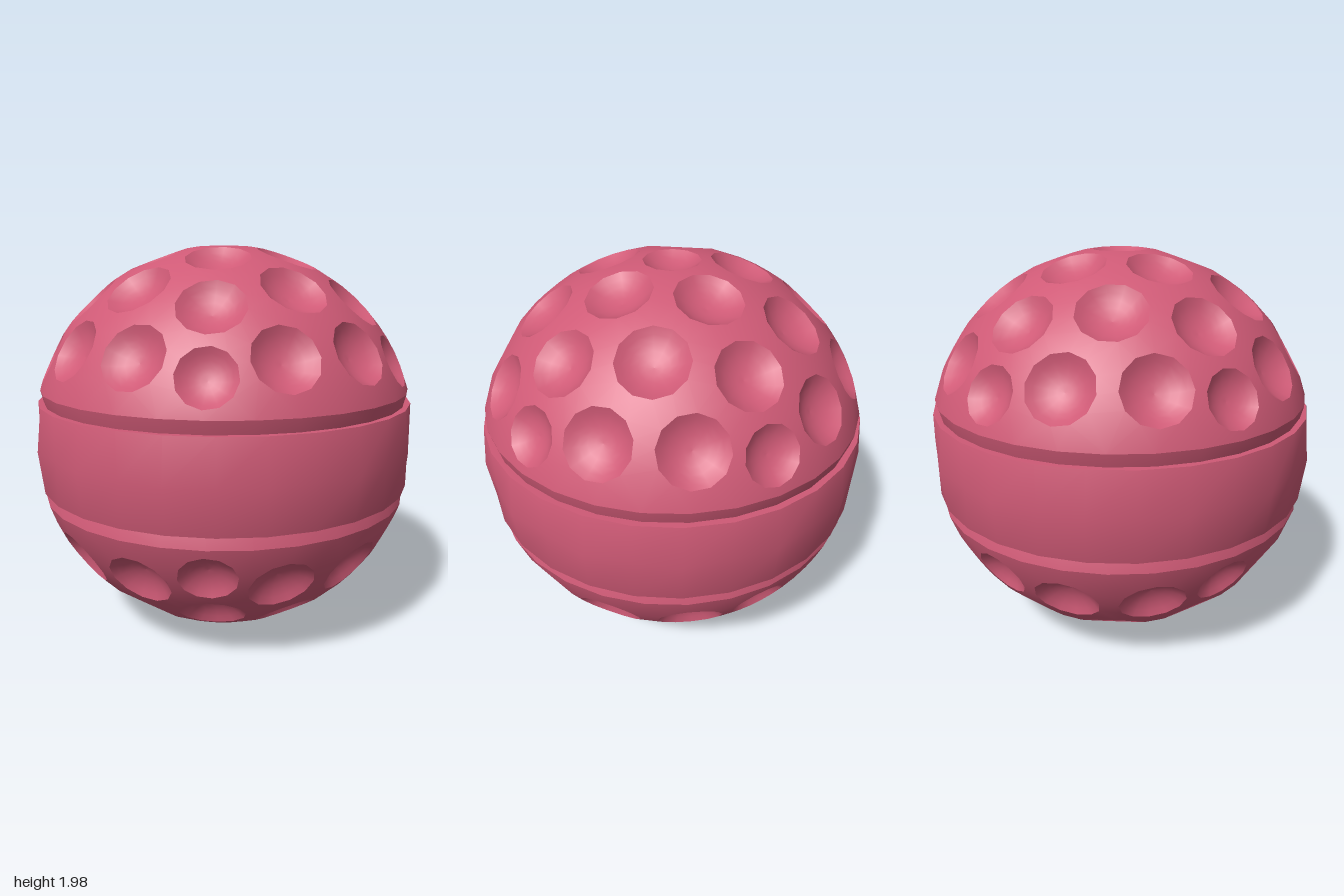
import * as THREE from 'three';
import { ConvexGeometry } from 'three/addons/geometries/ConvexGeometry.js';

const RIM_Y = 0.28;       // where the dimpled shell ends, above the centre
const BAND_Y = 0.217;     // half height of the band
const SIDES = 12;         // corners of a dimple rim
const material = new THREE.MeshStandardMaterial({ color: 0xcf5a76, roughness: 0.8 });
const skirtMaterial = material.clone();
skirtMaterial.side = THREE.DoubleSide;

function addMesh(parent, name, geometry, mat = material) {
  const mesh = new THREE.Mesh(geometry, mat);
  mesh.name = name;
  parent.add(mesh);
  return mesh;
}

// Dimple centres: five-fold rings [angle from pole, turn, radius] in degrees
function dimpleList() {
  const rings = [
    [20.1, 180, 0.16], [43.3, 180, 0.16], [63.43, 180, 0.138],
    [37.38, 0, 0.165], [59, 13.6, 0.16], [59, -13.6, 0.16],
  ];
  const list = [{ dir: new THREE.Vector3(0, 1, 0), radius: 0.138 }];
  for (const [polar, turn, radius] of rings) {
    for (let k = 0; k < 5; k++) {
      const dir = new THREE.Vector3().setFromSphericalCoords(
        1, THREE.MathUtils.degToRad(polar), THREE.MathUtils.degToRad(turn + 72 * k));
      list.push({ dir, radius });
    }
  }
  const up = new THREE.Vector3(0, 1, 0);
  for (const d of list) {
    d.height = Math.sqrt(1 - d.radius ** 2);
    d.turn = new THREE.Quaternion().setFromUnitVectors(up, d.dir);
  }
  return list;
}

// Faceted shell stretched between the dimple rims, left open at each dimple
function shellGeometry(dimples) {
  const points = [];
  const ring = (radius, y, n) => Array.from({ length: n }, (_, i) => {
    const a = (i / n) * Math.PI * 2;
    return new THREE.Vector3(Math.sin(a) * radius, y, Math.cos(a) * radius);
  });
  for (const d of dimples) {
    points.push(...ring(d.radius, d.height, SIDES).map((p) => p.applyQuaternion(d.turn)));
  }
  points.push(...ring(Math.sqrt(1 - RIM_Y ** 2), RIM_Y, 30));

  const hull = new ConvexGeometry(points).getAttribute('position');
  const positions = [], normals = [];
  for (let i = 0; i < hull.count; i += 3) {
    const tri = [0, 1, 2].map((j) => new THREE.Vector3().fromBufferAttribute(hull, i + j));
    const overDimple = dimples.some((d) => tri.every((p) => p.dot(d.dir) > d.height - 1e-4));
    const underside = tri.every((p) => p.y < RIM_Y + 1e-4);
    if (overDimple || underside) continue;
    for (const p of tri) {
      positions.push(p.x, p.y, p.z);
      p.normalize();
      normals.push(p.x, p.y, p.z);
    }
  }
  const geometry = new THREE.BufferGeometry();
  geometry.setAttribute('position', new THREE.Float32BufferAttribute(positions, 3));
  geometry.setAttribute('normal', new THREE.Float32BufferAttribute(normals, 3));
  return geometry;
}

// Shallow round bowl, profile running from rim to centre so it faces outward
function bowlGeometry(radius) {
  const depth = radius * 0.38, steps = 5, profile = [];
  const R = (radius ** 2 + depth ** 2) / (2 * depth);
  const spread = Math.asin(radius / R);
  for (let i = steps; i >= 0; i--) {
    const a = (spread * i) / steps;
    profile.push(new THREE.Vector2(R * Math.sin(a), R - depth - R * Math.cos(a)));
  }
  return new THREE.LatheGeometry(profile, SIDES);
}

function dimpledHalf(name) {
  const half = new THREE.Group();
  half.name = name;
  const dimples = dimpleList();
  addMesh(half, 'shell', shellGeometry(dimples));
  for (const d of dimples) {
    const bowl = addMesh(half, 'dimple', bowlGeometry(d.radius));
    bowl.position.copy(d.dir).multiplyScalar(d.height);
    bowl.quaternion.copy(d.turn);
  }
  // Tucked-in lower edge that runs behind the band
  const skirt = new THREE.LatheGeometry([
    new THREE.Vector2(0.92, 0.15), new THREE.Vector2(0.945, BAND_Y),
    new THREE.Vector2(0.96, RIM_Y),
  ], 30);
  addMesh(half, 'shellEdge', skirt, skirtMaterial);
  return half;
}

// Fourteen-cornered band: the corners bulge only on the middle line
function bandGeometry() {
  const geometry = new THREE.CylinderGeometry(0.975, 0.975, BAND_Y * 2, 28, 2, true);
  const pos = geometry.getAttribute('position');
  const normal = geometry.getAttribute('normal');
  const p = new THREE.Vector3();
  for (let i = 0; i < pos.count; i++) {
    p.fromBufferAttribute(pos, i);
    if (Math.abs(p.y) < 0.01 && (i % 29) % 2 === 0) {
      pos.setXYZ(i, p.x / 0.975, p.y, p.z / 0.975);
    }
    p.normalize();
    normal.setXYZ(i, p.x, p.y, p.z);
  }
  return geometry;
}

export function createModel() {
  const model = new THREE.Group();
  model.name = 'dimpledBall';
  const ball = new THREE.Group();
  ball.name = 'ball';
  ball.position.y = 0.99;
  model.add(ball);

  ball.add(dimpledHalf('upperHalf'));
  const lower = dimpledHalf('lowerHalf');
  lower.rotation.z = Math.PI;
  ball.add(lower);

  addMesh(ball, 'band', bandGeometry());
  for (const side of [1, -1]) {
    const ledge = addMesh(ball, 'bandLedge', new THREE.RingGeometry(0.9, 0.975, 28));
    ledge.rotation.x = (-side * Math.PI) / 2;
    ledge.position.y = side * BAND_Y;
  }
  return model;
}
